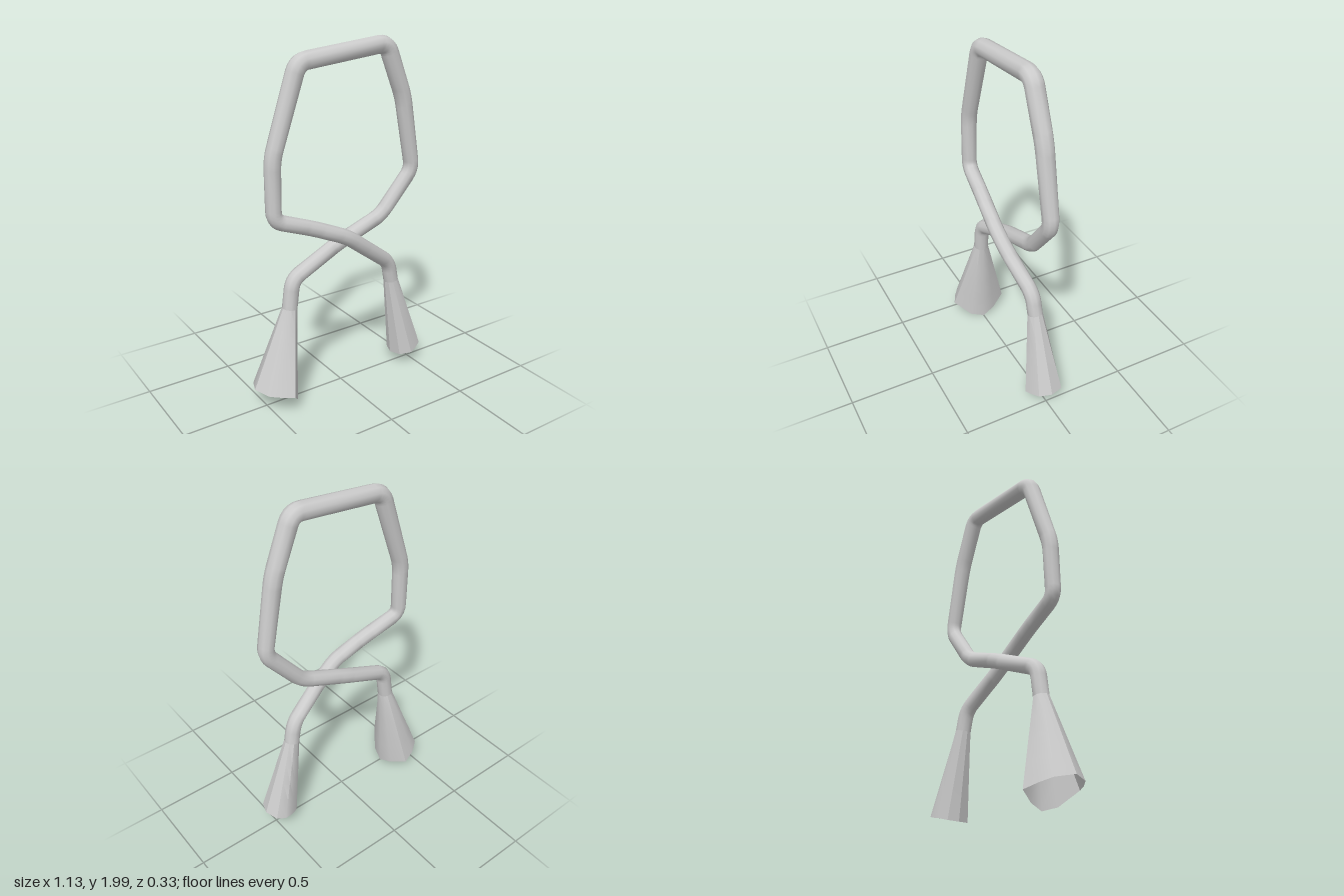
import * as THREE from 'three';
import { toCreasedNormals } from 'three/addons/utils/BufferGeometryUtils.js';

const SIDES = 10;
const V = (p) => new THREE.Vector3(...p);

// Skins closed rings of points, ordered along a path.
function loft(rings) {
  const pos = rings.flat().flatMap((p) => p.toArray());
  const idx = [];
  for (let j = 0; j + 1 < rings.length; j++) {
    for (let i = 0; i < SIDES; i++) {
      const a = j * SIDES + i, b = j * SIDES + (i + 1) % SIDES;
      idx.push(a, b, a + SIDES, b, b + SIDES, a + SIDES);
    }
  }
  const geo = new THREE.BufferGeometry();
  geo.setAttribute('position', new THREE.Float32BufferAttribute(pos, 3));
  geo.setIndex(idx);
  geo.computeVertexNormals();
  return geo;
}

// Replaces each corner of a polyline with a short rounded bend.
function roundPath(points, cut) {
  const out = [points[0]];
  for (let i = 1; i + 1 < points.length; i++) {
    const p = points[i];
    const toward = (q) => p.clone().add(q.clone().sub(p).setLength(cut));
    out.push(...new THREE.QuadraticBezierCurve3(toward(points[i - 1]), p, toward(points[i + 1])).getPoints(5));
  }
  out.push(points.at(-1));
  return out;
}

// Round cross-section perpendicular to the path.
function ring(center, tangent, r) {
  const n = new THREE.Vector3(0, 0, 1).cross(tangent).normalize();
  const b = tangent.clone().cross(n).normalize();
  return Array.from({ length: SIDES }, (_, i) => {
    const a = i / SIDES * Math.PI * 2;
    return center.clone().addScaledVector(n, r * Math.cos(a)).addScaledVector(b, r * Math.sin(a));
  });
}

// Straight-sided flare between a tube ring and a hem.
function flare(from, to, steps = 4) {
  return Array.from({ length: steps + 1 }, (_, k) =>
    from.map((p, i) => p.clone().lerp(to[i], k / steps)));
}

export function createModel() {
  const group = new THREE.Group();
  const material = new THREE.MeshStandardMaterial({ color: 0xcccccc, side: THREE.DoubleSide });
  const add = (name, geo) => {
    const mesh = new THREE.Mesh(geo, material);
    mesh.name = name;
    group.add(mesh);
  };

  // Centre line: up one knee, across, around the loop and down to the other knee
  const path = roundPath([
    [-0.337, 0.57, 0], [-0.315, 0.735, 0.0], [0, 0.875, -0.02], [0.28, 0.985, -0.01],
    [0.487, 1.235, 0.005], [0.405, 1.66, 0.01], [0.285, 1.955, 0.012],
    [-0.265, 1.9, 0.012], [-0.425, 1.43, 0.015], [-0.43, 1.1, 0.02],
    [-0.2, 1.02, 0.045], [0, 0.935, 0.065], [0.1, 0.86, 0.055],
    [0.33, 0.69, 0.01], [0.355, 0.57, 0.005],
  ].map(V), 0.055);
  const rings = path.map((p, i) => {
    const t = path[Math.min(i + 1, path.length - 1)].clone().sub(path[Math.max(i - 1, 0)]).normalize();
    // slightly thicker around the top of the loop
    return ring(p, t, 0.043 + 0.006 * THREE.MathUtils.smoothstep(p.y, 1.1, 1.9));
  });
  add('crossedTube', loft(rings));

  // Wide, slanted hem
  const wideHem = [
    [-0.57, 0.13, 0], [-0.53, 0.12, 0.09], [-0.47, 0.115, 0.135], [-0.41, 0.11, 0.165],
    [-0.345, 0.03, 0.08], [-0.32, 0.005, 0], [-0.34, 0.03, -0.08], [-0.39, 0.07, -0.168],
    [-0.47, 0.09, -0.142], [-0.53, 0.11, -0.1],
  ].map(V);
  add('rightLegFlare', toCreasedNormals(loft(flare(rings[0], wideHem).reverse()), 0.6));

  // Narrow hem
  const narrowHem = [
    [0.565, 0.12, 0], [0.54, 0.115, 0.07], [0.49, 0.1, 0.095], [0.45, 0.09, 0.108],
    [0.39, 0.075, 0.07], [0.37, 0.07, 0], [0.39, 0.075, -0.06], [0.44, 0.09, -0.085],
    [0.49, 0.1, -0.095], [0.54, 0.115, -0.075],
  ].map(V);
  add('leftLegFlare', toCreasedNormals(loft(flare(rings.at(-1), narrowHem)), 0.6));

  return group;
}
